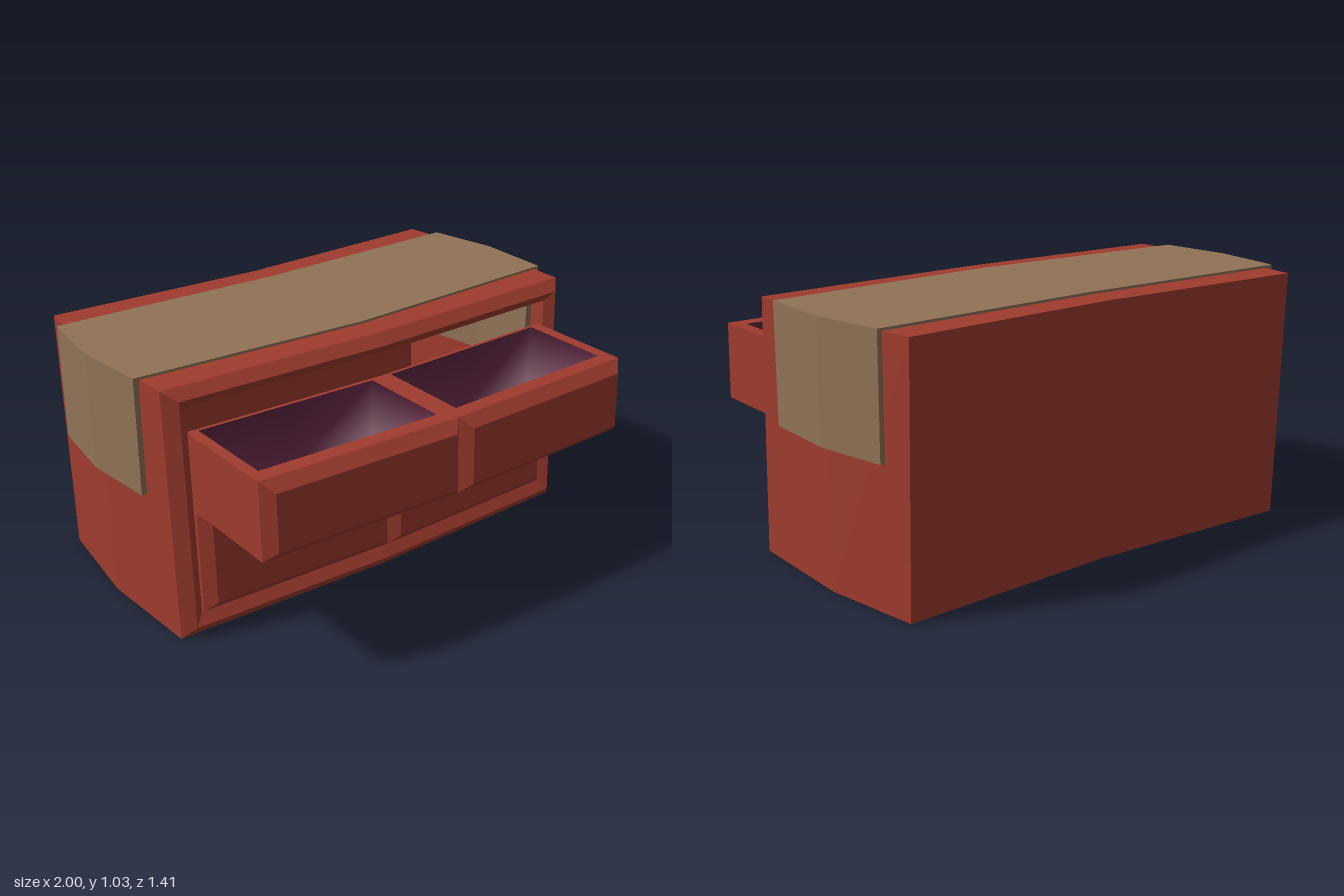
import * as THREE from 'three';
import { mergeVertices } from 'three/addons/utils/BufferGeometryUtils.js';

const mat = (name, color) => {
  const m = new THREE.MeshStandardMaterial({ color, side: THREE.DoubleSide });
  m.name = name;
  return m;
};

// Crooked front: bends back towards the ends and leans out towards the floor
const warp = ([x, y, z]) => [x, y, z + (x < 0 ? 0.053 * x : -0.015 * x) + 0.04 * (1 - y)];

// Joins rings of points with quads; skip leaves out edges, caps are fans
function loft(rings, { skip = [], capStart = false, capEnd = false } = {}) {
  const pos = [];
  const n = rings[0].length;
  const tri = (...p) => p.forEach((v) => pos.push(...v));
  for (let r = 0; r < rings.length - 1; r++) {
    for (let i = 0; i < n; i++) {
      if (skip.includes(i)) continue;
      const j = (i + 1) % n, a = rings[r], b = rings[r + 1];
      tri(a[i], a[j], b[j]);
      tri(a[i], b[j], b[i]);
    }
  }
  const cap = (ring, flip) => {
    const c = [0, 1, 2].map((k) => ring.reduce((s, p) => s + p[k], 0) / n);
    ring.forEach((p, i) => {
      const q = ring[(i + 1) % n];
      if (flip) tri(c, q, p); else tri(c, p, q);
    });
  };
  if (capStart) cap(rings[0], true);
  if (capEnd) cap(rings[rings.length - 1], false);
  const g = new THREE.BufferGeometry();
  g.setAttribute('position', new THREE.Float32BufferAttribute(pos, 3));
  g.computeVertexNormals();
  return g;
}

// Upright rectangle ring, with a middle point so that it can bend
const rect = (x0, x1, y0, y1, z, xm = (x0 + x1) / 2) =>
  [[x0, y0, z], [xm, y0, z], [x1, y0, z], [x1, y1, z], [xm, y1, z], [x0, y1, z]].map(warp);

// Level rectangle ring
const flat = (x0, x1, z0, z1, y) => {
  const xm = (x0 + x1) / 2;
  return [[x0, y, z1], [xm, y, z1], [x1, y, z1], [x1, y, z0], [xm, y, z0], [x0, y, z0]].map(warp);
};

// Level contour of x, z pairs
const level = (pts, y) => pts.map(([x, z]) => [x, y, z]);

export function createModel() {
  const red = mat('red wood', 0xa03c2e);
  const brown = mat('brown cloth', 0x917357);
  const purple = mat('purple lining', 0x5c2540);
  const model = new THREE.Group();
  model.name = 'dresser';
  const add = (parent, name, geometry, material) => {
    const m = new THREE.Mesh(geometry, material);
    m.name = name;
    parent.add(m);
  };

  // Cabinet shell, open at the front
  const outline = [[-0.94, 0.16], [0, 0.21], [0.965, 0.195], [0.97, -0.25],
    [0.9, -0.667], [0, -0.645], [-0.91, -0.704], [-0.965, -0.25]];
  const foot = outline.map(([x, z]) => [x, z + (z > 0 ? 0.04 : z < -0.5 ? 0.02 : 0)]);
  add(model, 'cabinet', loft([level(foot, 0), level(outline, 1.02)],
    { skip: [0, 1], capStart: true, capEnd: true }), red);

  // Ridged frame round the opening
  add(model, 'frontFrame', loft([
    rect(-0.94, 0.965, 0, 1.02, 0.21, 0),
    rect(-0.89, 0.925, 0.05, 0.98, 0.25, 0),
    rect(-0.85, 0.885, 0.095, 0.94, 0.22, 0),
    rect(-0.85, 0.885, 0.095, 0.94, 0.15, 0),
  ]), red);

  // Closed drawers below
  const bevel = 0.042;
  [[-0.845, 0.012], [0.012, 0.88]].forEach(([x0, x1], i) => {
    add(model, i ? 'leftLowerDrawer' : 'rightLowerDrawer', loft([
      rect(x0, x1, 0.097, 0.512, 0.1),
      rect(x0, x1, 0.097, 0.512, 0.228),
      rect(x0 + bevel, x1 - bevel, 0.138, 0.473, 0.266),
    ], { capStart: true, capEnd: true }), red);
  });

  // Open drawers pulled out above, each with a lined hollow
  [[-0.84, 0.017], [0.017, 0.885]].forEach(([x0, x1], i) => {
    const drawer = new THREE.Group();
    drawer.name = i ? 'leftOpenDrawer' : 'rightOpenDrawer';
    const y0 = 0.515, y1 = 0.828, zb = 0.19, zf = 0.69;
    const back = rect(x0, x1, y0, y1, zb);
    const front = rect(x0, x1, y0, y1, zf - bevel);
    add(drawer, 'drawerSides', loft([back, front], { skip: [3, 4], capStart: true }), red);
    add(drawer, 'drawerFront', loft([front,
      rect(x0 + bevel, x1 - bevel, y0 + bevel, y1 - bevel, zf)], { capEnd: true }), red);
    const hole = [x0 + 0.043, x1 - 0.05, zb + 0.015, 0.585];
    add(drawer, 'drawerRim', loft([flat(x0, x1, zb, zf - bevel, y1), flat(...hole, y1)]), red);
    const pit = loft([flat(...hole, y1), flat(...hole, y0 + 0.04)], { capEnd: true });
    pit.deleteAttribute('normal');
    const lining = mergeVertices(pit);
    lining.computeVertexNormals();
    add(drawer, 'drawerLining', lining, purple);
    model.add(drawer);
  });

  // Cloth runner over the top, hanging down both ends
  const cloth = new THREE.Group();
  cloth.name = 'clothRunner';
  const prism = (pts, y0, y1) => loft([level(pts, y0), level(pts, y1)], { capStart: true, capEnd: true });
  const leftEdge = [[0.99, 0.065], [0.998, -0.25], [0.94, -0.54]];
  const rightEdge = [[-0.96, -0.575], [-1, -0.27], [-0.97, 0.03]];
  add(cloth, 'clothTop', prism([...leftEdge, [0, -0.527], ...rightEdge, [0, 0.1]], 1.0, 1.03), brown);
  [leftEdge, rightEdge].forEach((edge, i) => {
    const inner = edge.map(([x, z]) => [x + (i ? 0.055 : -0.055), z]).reverse();
    add(cloth, i ? 'clothRightEnd' : 'clothLeftEnd', prism([...edge, ...inner], 0.558, 1.028), brown);
  });
  model.add(cloth);
  return model;
}
